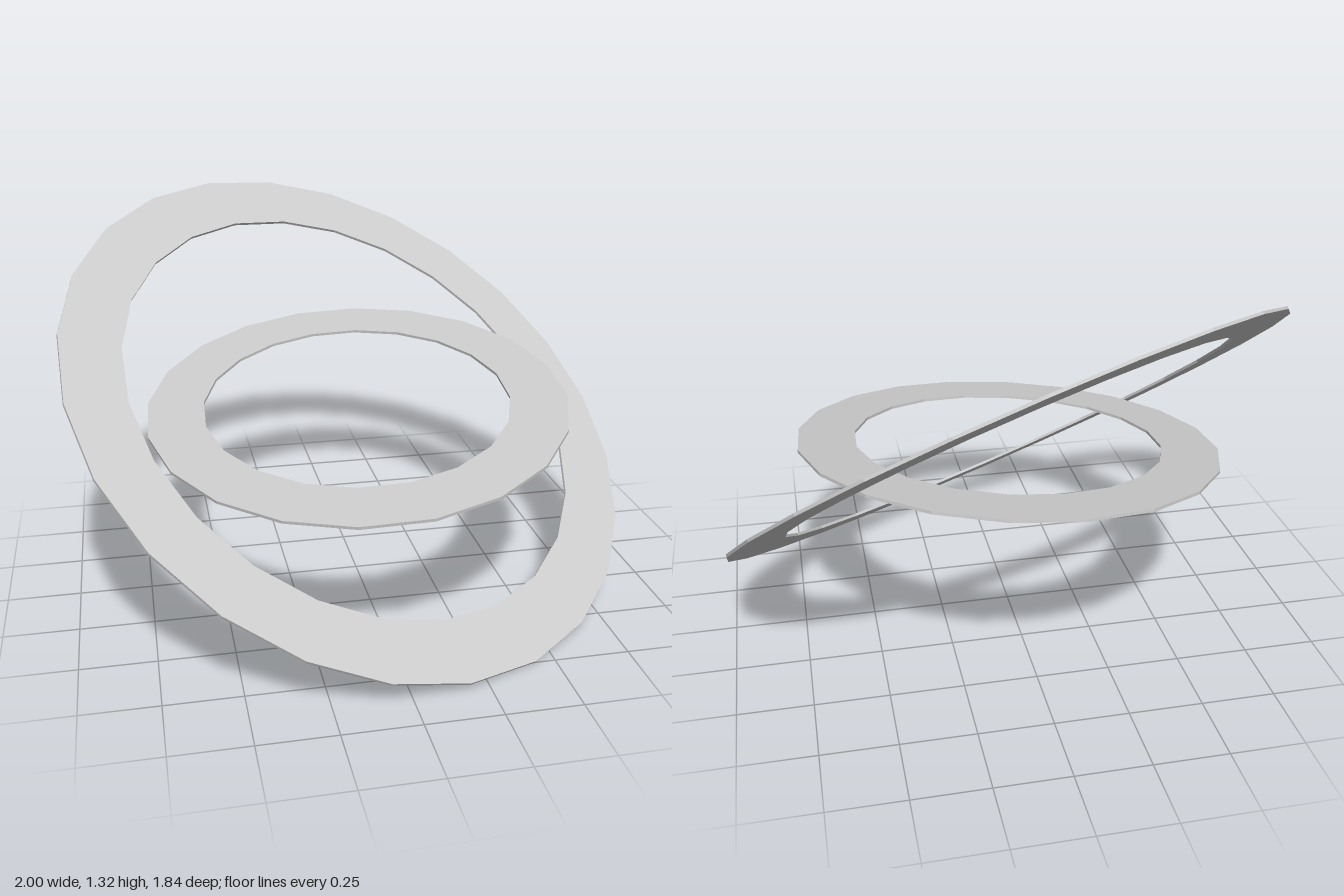
import * as THREE from 'three';

// Regular polygon outline of unit radius scaled by r
const outline = (sides, r) => Array.from({ length: sides }, (_, i) => {
  const a = (i / sides) * Math.PI * 2;
  return new THREE.Vector2(Math.cos(a) * r, Math.sin(a) * r);
});

// Thin flat ring lying in the plane spanned by the half-axes u and v
function tiltedRing(name, sides, hole, u, v, material) {
  const thickness = 0.01;
  const shape = new THREE.Shape(outline(sides, 1));
  shape.holes.push(new THREE.Path(outline(sides, hole)));
  const geometry = new THREE.ExtrudeGeometry(shape, { depth: thickness, bevelEnabled: false });
  geometry.translate(0, 0, -thickness / 2);
  const normal = u.clone().cross(v).normalize();
  geometry.applyMatrix4(new THREE.Matrix4().makeBasis(u, v, normal));
  const mesh = new THREE.Mesh(geometry, material);
  mesh.name = name;
  mesh.position.y = 0.657;
  return mesh;
}

export function createModel() {
  const group = new THREE.Group();
  group.name = 'tiltedRings';
  const material = new THREE.MeshStandardMaterial({ color: 0xcccccc, flatShading: true });

  // Large, steeply tilted ring
  group.add(tiltedRing('outerRing', 24, 0.8,
    new THREE.Vector3(0.998, -0.327, -0.08), new THREE.Vector3(0.078, 0.566, -0.916), material));

  // Smaller, nearly level ring inside it
  group.add(tiltedRing('innerRing', 20, 0.73,
    new THREE.Vector3(0.73, 0.06, -0.07), new THREE.Vector3(-0.08, 0.102, -0.788), material));

  return group;
}
